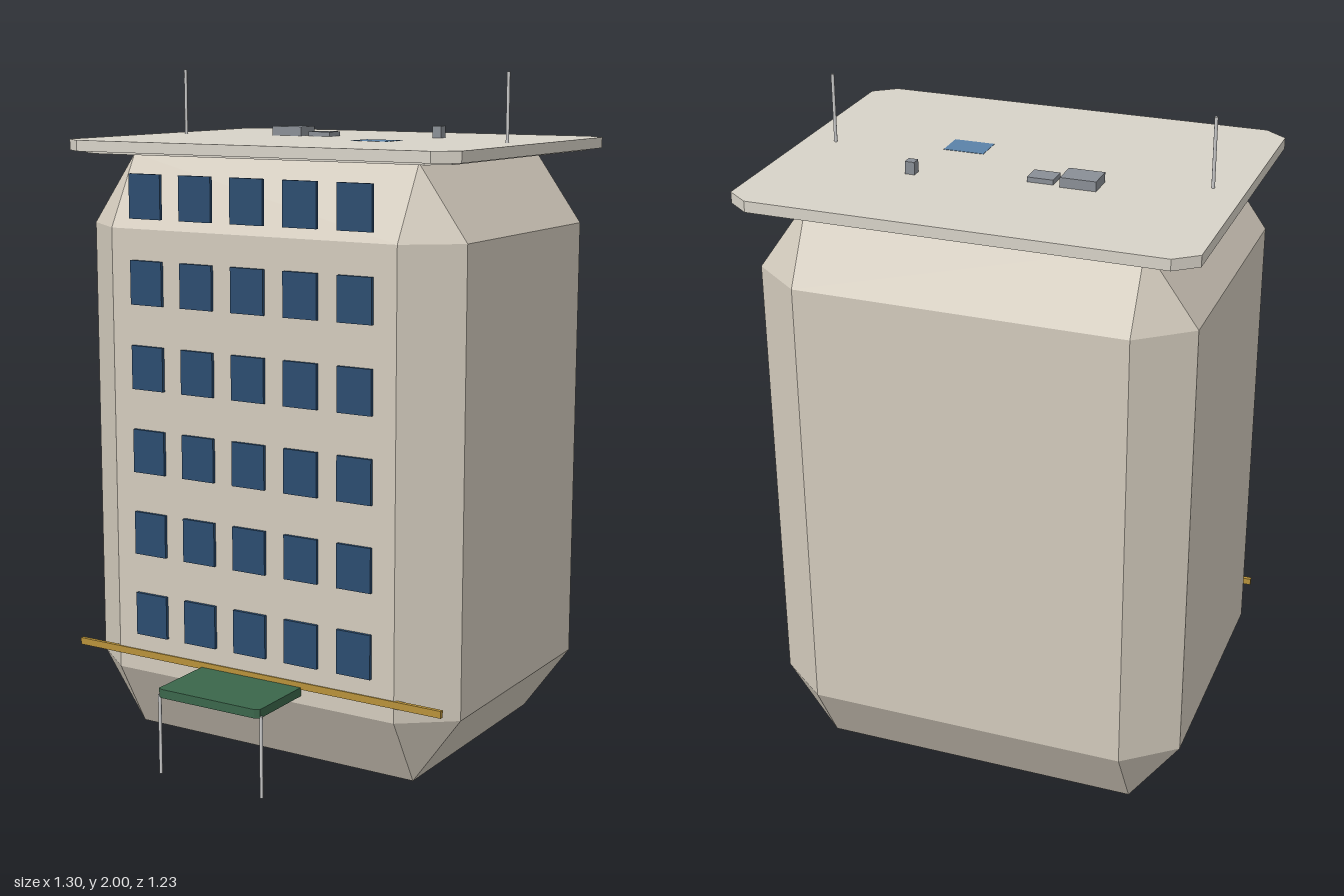
import * as THREE from 'three';
import { ConvexGeometry } from 'three/addons/geometries/ConvexGeometry.js';

const mat = (color, flatShading = false) => new THREE.MeshStandardMaterial({ color, flatShading });

export function createModel() {
  const model = new THREE.Group();
  model.name = 'officeBlock';

  const wall = mat(0xd3cbbd, true);
  const slabMat = mat(0xd8d3c8);
  const glass = mat(0x2b4c6f);
  const green = mat(0x3b664b);
  const gold = mat(0xb8923a);
  const metal = mat(0x8a8f96);
  const pale = mat(0xcccccc);
  const skylightBlue = mat(0x5a82a8);

  const add = (name, geometry, material, x = 0, y = 0, z = 0, parent = model) => {
    const mesh = new THREE.Mesh(geometry, material);
    mesh.name = name;
    mesh.position.set(x, y, z);
    parent.add(mesh);
    return mesh;
  };

  // Box given by its min/max extents
  const block = (name, material, [x0, x1], [y0, y1], [z0, z1]) =>
    add(name, new THREE.BoxGeometry(x1 - x0, y1 - y0, z1 - z0), material,
      (x0 + x1) / 2, (y0 + y1) / 2, (z0 + z1) / 2);

  // Box with every edge and corner cut, c = cut along each axis
  const chamferedBox = (hx, hy, hz, cx, cy, cz) => {
    const points = [];
    for (const sx of [-1, 1]) for (const sy of [-1, 1]) for (const sz of [-1, 1]) {
      points.push(
        new THREE.Vector3(sx * hx, sy * (hy - cy), sz * (hz - cz)),
        new THREE.Vector3(sx * (hx - cx), sy * hy, sz * (hz - cz)),
        new THREE.Vector3(sx * (hx - cx), sy * (hy - cy), sz * hz));
    }
    return new ConvexGeometry(points);
  };

  // Horizontal plate with cut corners, bottom at y = 0
  const plate = (hx, hz, cx, cz, height) => {
    const shape = new THREE.Shape([
      [hx - cx, -hz], [hx, cz - hz], [hx, hz - cz], [hx - cx, hz],
      [cx - hx, hz], [-hx, hz - cz], [-hx, cz - hz], [cx - hx, -hz],
    ].map(([x, y]) => new THREE.Vector2(x, y)));
    return new THREE.ExtrudeGeometry(shape, { depth: height, bevelEnabled: false }).rotateX(-Math.PI / 2);
  };

  // Main building volume
  add('buildingBody', chamferedBox(0.627, 0.88, 0.488, 0.15, 0.21, 0.117), wall, 0, 0.88, -0.1);

  // Roof slab and its soffit
  add('roofSlab', plate(0.65, 0.513, 0.065, 0.05, 0.032), slabMat, 0, 1.769, -0.105);
  add('roofSoffit', plate(0.61, 0.485, 0.06, 0.045, 0.008), slabMat, 0, 1.762, -0.105);

  // Window grid on the front
  const windows = new THREE.Group();
  windows.name = 'windows';
  model.add(windows);
  const pane = new THREE.BoxGeometry(0.11, 0.13, 0.01);
  for (let row = 0; row < 6; row++) {
    for (let col = -2; col <= 2; col++) {
      add('window', pane, glass, col * 0.175, 0.392 + row * 0.2506, 0.393, windows);
    }
  }

  // Trim band above the base
  block('trimBand', gold, [-0.627, 0.627], [0.255, 0.276], [0.38, 0.392]);

  // Entrance canopy on two posts
  add('canopy', plate(0.173, 0.115, 0.014, 0.008, 0.026), green, 0, 0.235, 0.497);
  for (const side of [-1, 1]) {
    add('canopyPost', new THREE.CylinderGeometry(0.005, 0.005, 0.24, 8), pale, side * 0.174, 0.12, 0.6);
    add('antenna', new THREE.CylinderGeometry(0.005, 0.005, 0.235, 8), pale, side * 0.557, 1.8825, -0.105);
  }

  // Rooftop equipment
  block('largeRoofUnit', metal, [-0.27, -0.167], [1.8, 1.829], [-0.24, -0.16]);
  block('smallRoofUnit', metal, [-0.145, -0.07], [1.8, 1.815], [-0.23, -0.168]);
  block('roofVent', metal, [0.237, 0.265], [1.8, 1.837], [-0.284, -0.256]);
  block('skylight', skylightBlue, [0.12, 0.24], [1.79, 1.802], [-0.065, 0.025]);

  return model;
}
